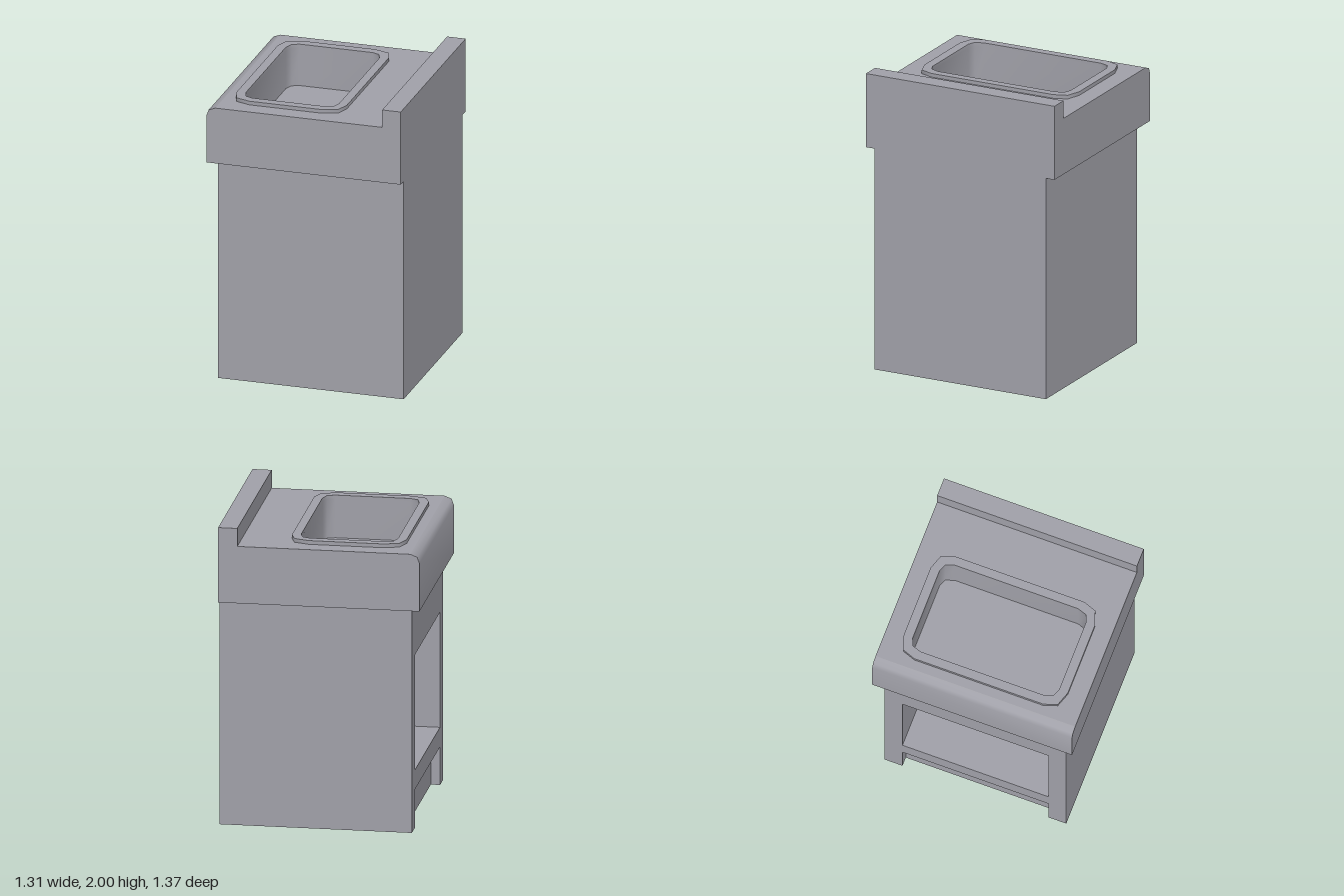
import * as THREE from 'three';
import { toCreasedNormals } from 'three/addons/utils/BufferGeometryUtils.js';

const HALF_Z = 0.685, COUNTER_Y = 1.5, DECK_Y = 1.88, RIM_Y = 1.905, BOWL_Y = 1.62;

const toVectors = (points) => points.map(([x, y]) => new THREE.Vector2(x, y));

// Open strip: an XY profile swept along z, facing the right of its direction
function sweep(points, z0, z1) {
  const position = [], index = [];
  points.forEach(([x, y], i) => {
    position.push(x, y, z0, x, y, z1);
    if (i) {
      const a = 2 * i - 2, b = 2 * i;
      index.push(a, b, b + 1, a, b + 1, a + 1);
    }
  });
  const geometry = new THREE.BufferGeometry();
  geometry.setAttribute('position', new THREE.Float32BufferAttribute(position, 3));
  geometry.setIndex(index);
  return toCreasedNormals(geometry, Math.PI / 3);
}

// Counterclockwise rectangle with two-step cut corners; quarter lists the +x +y corner offsets
function basinOutline(x0, x1, halfZ, cuts) {
  const corner = (x, sx, sy, list) => list.map(([dx, dy]) => [x - sx * dx, sy * (halfZ - dy)]);
  const back = [...cuts].reverse();
  return [
    ...corner(x1, 1, 1, cuts), ...corner(x0, -1, 1, back),
    ...corner(x0, -1, -1, cuts), ...corner(x1, 1, -1, back),
  ];
}

export function createModel() {
  const model = new THREE.Group();
  const grey = new THREE.MeshStandardMaterial({ color: 0xa0a0a8 });
  grey.name = 'grey metal';

  const add = (name, geometry, parent = model) => {
    const mesh = new THREE.Mesh(geometry, grey);
    mesh.name = name;
    parent.add(mesh);
    return mesh;
  };

  // Cabinet: layers stacked along x, open toward -x
  const cabinet = new THREE.Group();
  cabinet.name = 'cabinet';
  model.add(cabinet);
  const W = 0.623, OPEN = 0.5;
  const cabinetLayer = (name, outline, x0, x1, open) => {
    const shape = new THREE.Shape(toVectors(outline));
    if (open) {
      shape.holes.push(new THREE.Path(toVectors(
        [[-OPEN, 0.385], [-OPEN, 1.155], [OPEN, 1.155], [OPEN, 0.385]])));
    }
    const geometry = new THREE.ExtrudeGeometry(shape, { depth: x1 - x0, bevelEnabled: false });
    geometry.rotateY(Math.PI / 2).translate(x0, 0, 0);
    add(name, geometry, cabinet);
  };
  const block = [[-W, 0], [W, 0], [W, COUNTER_Y], [-W, COUNTER_Y]];
  const notched = [[-W, 0], [-OPEN, 0], [-OPEN, 0.255], [OPEN, 0.255], [OPEN, 0],
    [W, 0], [W, COUNTER_Y], [-W, COUNTER_Y]];
  cabinetLayer('doorFrame', notched, -0.595, -0.535, true);
  cabinetLayer('cabinetBody', block, -0.535, 0.53, true);
  cabinetLayer('cabinetBack', block, 0.53, 0.655, false);

  // Counter: rounded edge, underside and splashback as one shell with end caps
  const counter = new THREE.Group();
  counter.name = 'counter';
  model.add(counter);
  const profile = [[-0.595, DECK_Y], [-0.64, 1.862], [-0.655, 1.82], [-0.655, COUNTER_Y],
    [0.655, COUNTER_Y], [0.655, 2], [0.53, 2], [0.53, DECK_Y]];
  add('counterShell', sweep(profile, -HALF_Z, HALF_Z), counter);
  for (const side of [1, -1]) {
    const cap = add('counterEnd', new THREE.ShapeGeometry(new THREE.Shape(toVectors(profile))), counter);
    cap.position.z = side * HALF_Z;
    // Flip the far cap's corner order so it faces outward
    if (side < 0) {
      cap.geometry.index.array.reverse();
      const normal = cap.geometry.attributes.normal;
      for (let i = 0; i < normal.count; i++) normal.setZ(i, -1);
    }
  }

  // Deck with the basin opening cut out
  const inner = basinOutline(-0.473, 0.157, 0.502, [[0, 0.08], [0.02, 0.02], [0.07, 0]]);
  const outer = basinOutline(-0.532, 0.214, 0.563, [[0, 0.12], [0.031, 0.033], [0.128, 0]]);
  const opening = () => new THREE.Path(toVectors(inner));
  const deckShape = new THREE.Shape(toVectors(
    [[-0.595, -HALF_Z], [0.53, -HALF_Z], [0.53, HALF_Z], [-0.595, HALF_Z]]));
  deckShape.holes.push(opening());
  add('deck', new THREE.ShapeGeometry(deckShape).rotateX(-Math.PI / 2).translate(0, DECK_Y, 0), counter);

  // Sink: raised rim, straight walls and flat floor
  const sink = new THREE.Group();
  sink.name = 'sink';
  model.add(sink);
  const rimShape = new THREE.Shape(toVectors(outer));
  rimShape.holes.push(opening());
  const rim = new THREE.ExtrudeGeometry(rimShape, { depth: RIM_Y - DECK_Y, bevelEnabled: false });
  add('sinkRim', toCreasedNormals(rim.rotateX(-Math.PI / 2).translate(0, DECK_Y, 0), Math.PI / 3), sink);
  const inward = [...inner, inner[0]].reverse();
  add('sinkWalls', sweep(inward, BOWL_Y, DECK_Y).rotateX(-Math.PI / 2), sink);
  const floor = new THREE.ShapeGeometry(new THREE.Shape(toVectors(inner)));
  add('sinkFloor', floor.rotateX(-Math.PI / 2).translate(0, BOWL_Y, 0), sink);

  return model;
}
